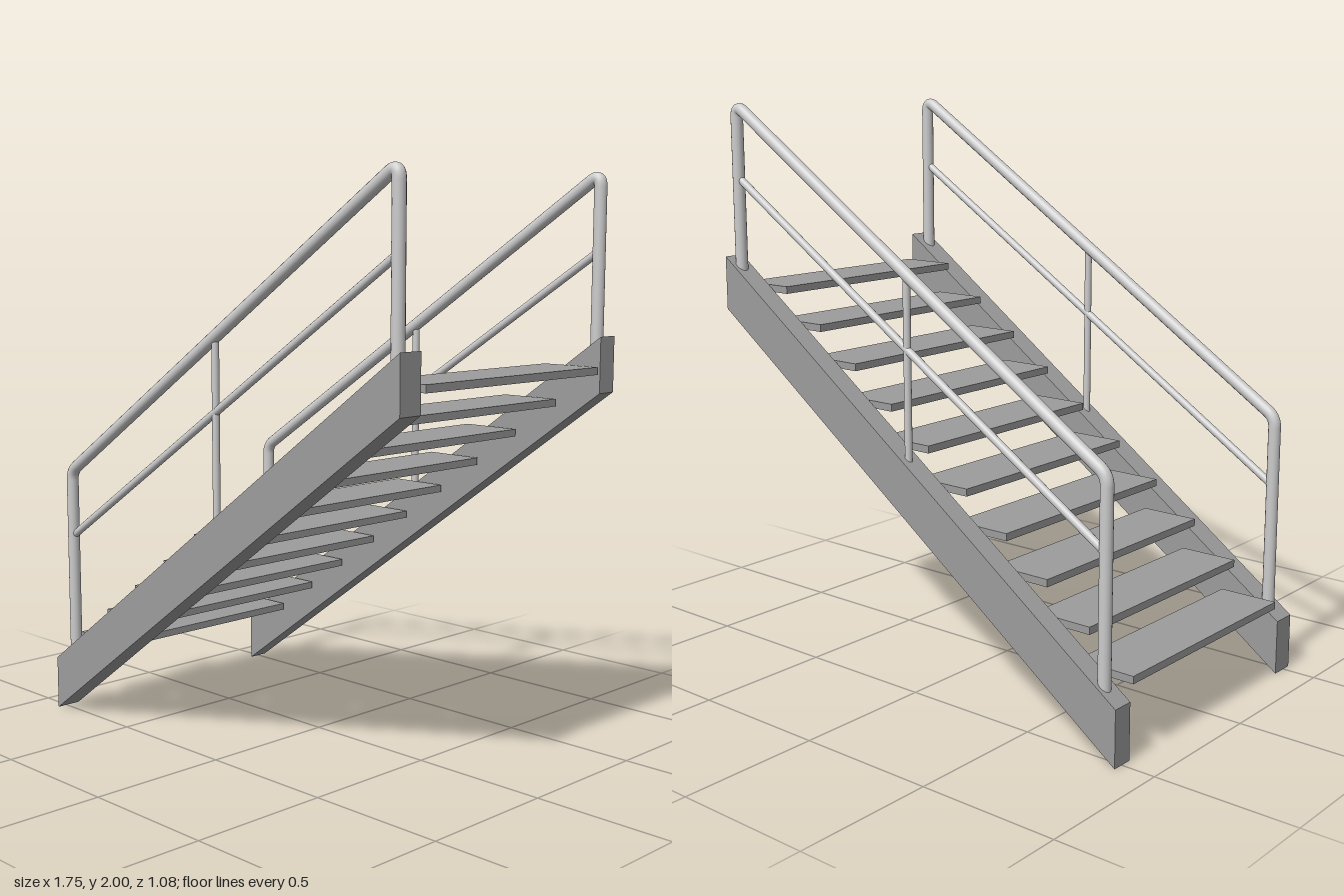
import * as THREE from 'three';

const pipeMaterial = new THREE.MeshStandardMaterial({ color: 0xcccccc });
const plateMaterial = new THREE.MeshStandardMaterial({ color: 0x9c9c9c });
const HALF = 0.877; // half length of the flight
const LOW_X = -0.808, HIGH_X = 0.831; // end posts

function addMesh(parent, name, geometry, material) {
  const mesh = new THREE.Mesh(geometry, material);
  mesh.name = name;
  parent.add(mesh);
  return mesh;
}

// Height of the stringer's top edge at x
const stringerTop = (x) => 0.196 + ((x + HALF) * 1.258) / (2 * HALF);

// Sloping side beam with plumb-cut ends
function stringer(zMin, zMax) {
  const shape = new THREE.Shape();
  shape.moveTo(-HALF, 0);
  shape.lineTo(HALF, 1.263);
  shape.lineTo(HALF, 1.454);
  shape.lineTo(-HALF, 0.196);
  shape.closePath();
  const geometry = new THREE.ExtrudeGeometry(shape, { depth: zMax - zMin, bevelEnabled: false });
  return geometry.translate(0, 0, zMin);
}

// Handrail with its end posts bent from one pipe, plus middle rail and post
function railing(name, z) {
  const group = new THREE.Group();
  group.name = name;
  const v = (x, y) => new THREE.Vector3(x, y, z);
  const pipe = (part, curve, segments, radius) =>
    addMesh(group, part, new THREE.TubeGeometry(curve, segments, radius, 16), pipeMaterial);
  const straight = (part, a, b, radius) => pipe(part, new THREE.LineCurve3(a, b), 1, radius);

  const low = v(LOW_X, 0.921), high = v(HIGH_X, 1.994);
  const slope = high.clone().sub(low).normalize();
  const lowPost = v(LOW_X, low.y - 0.034);
  const lowRail = low.clone().addScaledVector(slope, 0.034);
  const highRail = high.clone().addScaledVector(slope, -0.045);
  const highPost = v(HIGH_X, high.y - 0.045);

  straight('lowerPost', v(LOW_X, stringerTop(LOW_X) - 0.02), lowPost, 0.022);
  pipe('lowerBend', new THREE.QuadraticBezierCurve3(lowPost, low, lowRail), 8, 0.022);
  straight('handrail', lowRail, highRail, 0.022);
  pipe('upperBend', new THREE.QuadraticBezierCurve3(highRail, high, highPost), 10, 0.022);
  straight('upperPost', highPost, v(HIGH_X, stringerTop(HIGH_X) - 0.02), 0.022);

  straight('middleRail', v(LOW_X, 0.675), v(HIGH_X, 1.737), 0.014);
  straight('middlePost', v(0.014, stringerTop(0.014) - 0.02), v(0.014, 1.459), 0.013);
  return group;
}

export function createModel() {
  const stairs = new THREE.Group();
  stairs.name = 'staircase';

  addMesh(stairs, 'frontStringer', stringer(0.445, 0.537), plateMaterial);
  addMesh(stairs, 'backStringer', stringer(-0.538, -0.459), plateMaterial);

  // Open treads, each overlapping the one below
  const treadGeometry = new THREE.BoxGeometry(0.218, 0.026, 0.868);
  for (let i = 0; i < 10; i++) {
    const tread = addMesh(stairs, `tread${i + 1}`, treadGeometry, plateMaterial);
    tread.position.set(-HALF + 0.109 + i * 0.1707, 0.263 + i * 0.1197, -0.011);
  }

  stairs.add(railing('frontRailing', 0.496), railing('backRailing', -0.502));
  return stairs;
}
